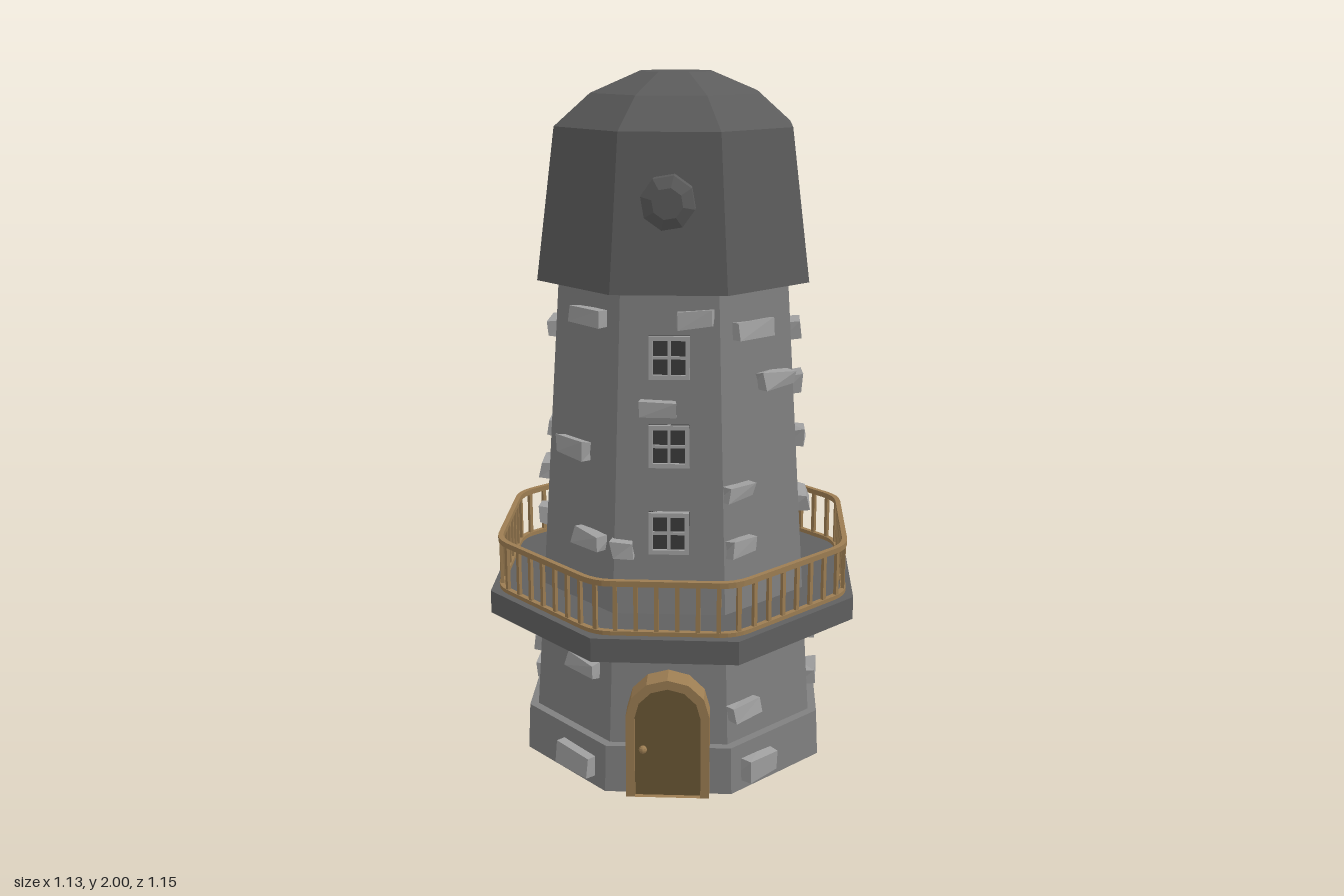
import * as THREE from 'three';

const DEG = Math.PI / 180;
const CORNER = -13 * DEG; // angle of the first octagon corner
const mat = (color) => new THREE.MeshStandardMaterial({ color, flatShading: true });
const STONE = mat(0x808080), BRICK = mat(0xa0a0a0), ROOF = mat(0x5c5c5c), DECK = mat(0x606060);
const DARK = mat(0x3a3a3a), WOOD = mat(0x9c7d52), DOOR = mat(0x6b5836);

let seed = 7;
const rand = () => (seed = (seed * 16807) % 2147483647) / 2147483647 - 0.5;

function add(parent, name, geometry, material, x = 0, y = 0, z = 0) {
  const mesh = new THREE.Mesh(geometry, material);
  mesh.name = name;
  mesh.position.set(x, y, z);
  parent.add(mesh);
  return mesh;
}

// Octagonal solid from a radius/height profile
const octagon = (profile) =>
  new THREE.LatheGeometry(profile.map(([r, y]) => new THREE.Vector2(r, y)), 8, CORNER);

// Distance from the axis to the middle of a tower facet
const wall = (y) => (y < 0.14 ? 0.473 - 0.05 * y : 0.44 - 0.07 * (y - 0.14)) * Math.cos(22.5 * DEG);

// Group on facet k whose local z points out of the wall
function onFacet(parent, name, k, y, u = 0, d = wall(y), lean = 0) {
  const g = new THREE.Group();
  const a = CORNER + (k + 0.5) * 45 * DEG;
  g.name = name;
  g.rotation.set(-lean, a, 0, 'YXZ');
  g.position.set(d * Math.sin(a) + u * Math.cos(a), y, d * Math.cos(a) - u * Math.sin(a));
  parent.add(g);
  return g;
}

// Plan of the gallery floor as [x, z]
const PLAN = [[-0.165, 0.573], [0.295, 0.492], [0.565, 0.115], [0.487, -0.343],
  [0.163, -0.573], [-0.297, -0.497], [-0.565, -0.119], [-0.49, 0.337]];

// Scaled plan with corners rounded by a fraction of each edge
function planShape(scale, round) {
  const p = PLAN.map(([x, z]) => new THREE.Vector2(x * scale, -z * scale));
  const s = new THREE.Shape();
  p.forEach((c, i) => {
    const start = c.clone().lerp(p[(i + 7) % 8], round);
    const end = c.clone().lerp(p[(i + 1) % 8], round);
    if (i === 0) s.moveTo(start.x, start.y);
    else s.lineTo(start.x, start.y);
    if (round) s.quadraticCurveTo(c.x, c.y, end.x, end.y);
  });
  s.closePath();
  return s;
}

function slab(shape, height) {
  return new THREE.ExtrudeGeometry(shape, { depth: height, bevelEnabled: false, curveSegments: 4 })
    .rotateX(-Math.PI / 2);
}

// Door outline with a faceted arch
function arch(Kind, w, spring, top) {
  const s = new Kind();
  s.moveTo(-w, 0);
  s.lineTo(w, 0);
  for (let i = 0; i <= 6; i++) {
    const a = (i / 6) * Math.PI;
    s.lineTo(w * Math.cos(a), spring + (top - spring) * Math.sin(a));
  }
  s.closePath();
  return s;
}

function addDoor(parent) {
  const door = onFacet(parent, 'door', -1, 0, 0, 0.39);
  const frame = arch(THREE.Shape, 0.118, 0.25, 0.362);
  frame.holes.push(arch(THREE.Path, 0.093, 0.245, 0.335));
  add(door, 'doorFrame', new THREE.ExtrudeGeometry(frame, { depth: 0.075, bevelEnabled: false }), WOOD);
  add(door, 'doorPanel', new THREE.ExtrudeGeometry(arch(THREE.Shape, 0.095, 0.245, 0.336),
    { depth: 0.06, bevelEnabled: false }), DOOR);
  add(door, 'doorKnob', new THREE.SphereGeometry(0.012, 8, 6), WOOD, -0.07, 0.145, 0.068);
}

function addWindow(parent, y, w, h) {
  const win = onFacet(parent, 'window', -1, y, 0, wall(y), 3.7 * DEG);
  const bar = 0.012;
  add(win, 'windowPane', new THREE.BoxGeometry(w, h, 0.02), DARK);
  for (const s of [-1, 0, 1]) {
    const t = s ? bar : bar * 0.7, depth = s ? 0.045 : 0.034;
    add(win, 'windowUpright', new THREE.BoxGeometry(t, h, depth), BRICK, s * (w - bar) / 2, 0, 0);
    add(win, 'windowCrossbar', new THREE.BoxGeometry(w, t, depth), BRICK, 0, s * (h - bar) / 2, 0);
  }
}

// Slightly uneven stone block, narrower on its outer face
function brickGeometry(w, h) {
  const g = new THREE.BoxGeometry(w, h, 0.06);
  const p = g.attributes.position;
  const jitter = Array.from({ length: 8 }, () => [rand() * 0.016, rand() * 0.014, rand() * 0.012]);
  for (let i = 0; i < p.count; i++) {
    const x = p.getX(i), y = p.getY(i), z = p.getZ(i);
    const j = jitter[(x > 0) + 2 * (y > 0) + 4 * (z > 0)];
    const k = z > 0 ? 0.93 : 1;
    p.setXYZ(i, x * k + j[0], y * k + j[1], z + (z > 0 ? j[2] : 0));
  }
  g.computeVertexNormals();
  return g;
}

// Protruding bricks per facet: [height, sideways offset, width]
const BRICKS = [
  [[0.06, -0.08, 0.12], [0.235, -0.11, 0.11], [0.715, -0.1, 0.1], [0.875, -0.1, 0.1], [1.165, 0.06, 0.13], [1.315, -0.02, 0.14]],
  [[0.185, 0, 0.11], [0.325, 0.04, 0.1], [0.78, -0.07, 0.13], [0.94, 0.03, 0.11], [1.09, 0.1, 0.1], [1.25, 0.09, 0.09]],
  [[0.055, 0.05, 0.17], [0.19, 0.07, 0.13], [0.34, 0.06, 0.14], [0.715, 0.05, 0.15], [0.855, 0.09, 0.15], [0.97, 0.05, 0.14]],
  [[0.05, 0.12, 0.12], [0.2, -0.06, 0.12], [0.23, 0.1, 0.1], [0.33, -0.07, 0.12], [0.7, 0.12, 0.1], [0.77, -0.03, 0.12],
    [0.88, 0.08, 0.12], [0.95, -0.01, 0.1], [1.1, -0.07, 0.1], [1.2, 0.09, 0.1], [1.34, -0.05, 0.12], [1.38, 0.1, 0.09]],
  [[0.05, -0.09, 0.12], [0.33, 0, 0.13], [0.8, -0.05, 0.13], [1.04, 0.04, 0.14], [1.2, -0.09, 0.12], [1.38, -0.03, 0.13]],
  [[0.16, -0.07, 0.12], [0.3, 0.02, 0.13], [0.72, 0.08, 0.1], [0.87, 0.09, 0.12], [0.95, -0.08, 0.13], [1.28, 0.04, 0.11]],
  [[0.06, 0.06, 0.14], [0.34, 0.05, 0.13], [0.72, 0.06, 0.12], [0.97, -0.02, 0.12], [1.35, 0.02, 0.13]],
  [[1.115, -0.03, 0.1], [1.36, 0.07, 0.1], [0.715, -0.13, 0.06]],
];

export function createModel() {
  const model = new THREE.Group();
  model.name = 'tower';

  // Masonry body
  add(model, 'base', octagon([[0, 0], [0.473, 0], [0.466, 0.14], [0, 0.14]]), STONE);
  add(model, 'towerBody', octagon([[0.44, 0.13], [0.349, 1.44]]), STONE);
  const bricks = new THREE.Group();
  bricks.name = 'bricks';
  model.add(bricks);
  BRICKS.forEach((list, k) => list.forEach(([y, u, w]) => {
    const spot = onFacet(bricks, 'brick', k, y, u, wall(y), 3.7 * DEG);
    add(spot, 'brickBlock', brickGeometry(w, y < 0.1 ? 0.07 : 0.05), BRICK);
  }));

  // Faceted cap
  add(model, 'roof', octagon([[0, 1.432], [0.412, 1.432], [0.355, 1.855], [0.25, 1.943], [0.108, 2], [0, 2]]), ROOF);

  // Axle stub on the cap
  const axle = onFacet(model, 'axle', -1, 1.68, 0, 0.32);
  const stub = [[0.052, 0], [0.052, 0.05], [0.073, 0.05], [0.073, 0.098], [0.042, 0.115], [0, 0.115]]
    .map(([r, y]) => new THREE.Vector2(r, y));
  add(axle, 'axleStub', new THREE.LatheGeometry(stub, 8, CORNER).rotateX(Math.PI / 2), ROOF);

  // Gallery floor and railing
  add(model, 'galleryFloor', slab(planShape(1, 0), 0.068), DECK, 0, 0.458, 0);
  const rail = planShape(0.965, 0.12);
  rail.holes.push(planShape(0.937, 0.12));
  const railing = new THREE.Group();
  railing.name = 'railing';
  model.add(railing);
  add(railing, 'topRail', slab(rail, 0.016), WOOD, 0, 0.669, 0);
  add(railing, 'bottomRail', slab(rail, 0.012), WOOD, 0, 0.528, 0);
  const count = 60, line = planShape(0.951, 0.12);
  const baluster = new THREE.BoxGeometry(0.012, 0.14, 0.01);
  for (let i = 0; i < count; i++) {
    const p = line.getPointAt(i / count), t = line.getTangentAt(i / count);
    add(railing, 'baluster', baluster, WOOD, p.x, 0.603, -p.y).rotation.y = Math.atan2(t.y, t.x);
  }

  // Openings
  addDoor(model);
  addWindow(model, 1.255, 0.112, 0.118);
  addWindow(model, 1.01, 0.112, 0.118);
  addWindow(model, 0.765, 0.112, 0.118);
  return model;
}
